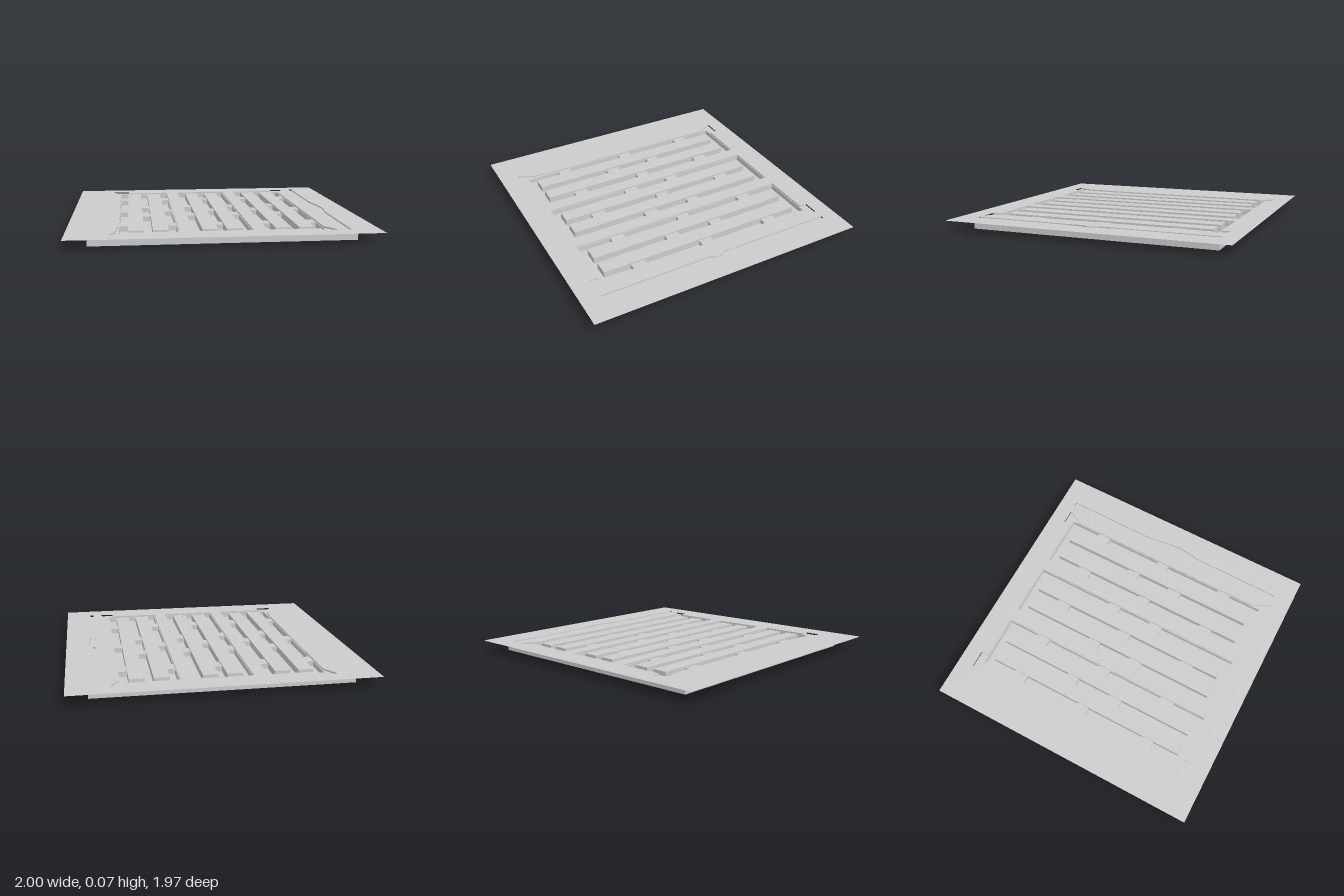
import * as THREE from 'three';
import { mergeGeometries } from 'three/addons/utils/BufferGeometryUtils.js';

const TOP = 0.07, LEDGE = 0.06, FLOOR = 0.025;
const BACK = -0.87, FRONT = 0.85, SIDE = 0.86;
const HEAD_BACK = -0.81, HEAD_FRONT = 0.79;   // outer limits of the channel bays
const RUN_BACK = -0.76, RUN_FRONT = 0.74;     // ends of the long channels

const material = new THREE.MeshStandardMaterial({
  color: 0xcccccc, side: THREE.DoubleSide, flatShading: true,
});

const rect = (x0, x1, z0, z1) => [[x0, z0], [x1, z0], [x1, z1], [x0, z1]];

// Horizontal sheet from [x, z] corners, with optional holes
function sheet(points, y, holes = []) {
  const toV = (p) => new THREE.Vector2(p[0], -p[1]);
  const shape = new THREE.Shape(points.map(toV));
  holes.forEach((h) => shape.holes.push(new THREE.Path(h.map(toV))));
  const g = new THREE.ShapeGeometry(shape).rotateX(-Math.PI / 2).translate(0, y, 0).toNonIndexed();
  g.deleteAttribute('uv');
  return g;
}

// Vertical walls along a closed [x, z] outline; edges accepted by skip stay open
function walls(points, y0, y1, skip = () => false) {
  const pos = [];
  points.forEach((a, i) => {
    const b = points[(i + 1) % points.length];
    if (skip(a, b)) return;
    const q = [[a[0], y0, a[1]], [b[0], y0, b[1]], [b[0], y1, b[1]], [a[0], y1, a[1]]];
    [0, 2, 1, 0, 3, 2].forEach((k) => pos.push(...q[k]));
  });
  const g = new THREE.BufferGeometry();
  g.setAttribute('position', new THREE.Float32BufferAttribute(pos, 3));
  g.computeVertexNormals();
  return g;
}

function add(group, name, parts) {
  const mesh = new THREE.Mesh(mergeGeometries(parts), material);
  mesh.name = name;
  group.add(mesh);
}

// Openings that run out through the skirt have no wall there
const atRim = (a, b) => a[1] === b[1] && (a[1] === BACK || a[1] === FRONT);
const alongZ = (a, b) => a[0] === b[0];

// Centre line of channel i (nine channels, three per bay)
const channelX = (i) => -0.635 + i * 0.1583;
const HALF = 0.028;

// Bridges: even and odd channels are staggered
const bridges = [
  [[-0.58, -0.48], [-0.06, 0.03], [0.45, 0.55]],
  [[-0.23, -0.14], [0.11, 0.21]],
];

// One channel: low runs broken by raised bridges, with steps between
function channel(i) {
  const x0 = channelX(i) - HALF, x1 = channelX(i) + HALF;
  const sideTop = [i % 3 === 0 ? LEDGE : TOP, i % 3 === 2 ? LEDGE : TOP];
  const parts = [];
  const run = (z0, z1, y) => {
    parts.push(sheet(rect(x0, x1, z0, z1), y));
    [x0, x1].forEach((x, k) => {
      if (y < sideTop[k]) parts.push(walls([[x, z0], [x, z1]], y, sideTop[k], (a, b) => a[1] > b[1]));
    });
  };
  let z = RUN_BACK;
  for (const [b0, b1] of bridges[i % 2]) {
    run(z, b0, FLOOR);
    run(b0, b1, LEDGE);
    parts.push(walls(rect(x0, x1, b0, b1), FLOOR, LEDGE, alongZ));
    z = b1;
  }
  run(z, RUN_FRONT, FLOOR);
  return parts;
}

export function createModel() {
  const group = new THREE.Group();

  // Outlines of the three bays; the outer two flare into corner mouths
  const e = 0.005;
  const xl = channelX(0) - HALF - e, xr = channelX(8) + HALF + e;
  const zb = HEAD_BACK - e, zf = HEAD_FRONT + e;
  const right3 = channelX(2) + HALF + e, left3 = channelX(6) - HALF - e;
  const outlines = [
    [[-0.73, BACK], [-0.605, BACK], [-0.605, zb], [right3, zb], [right3, zf], [-0.62, zf],
      [-0.62, FRONT], [-0.735, FRONT], [-0.70, 0.79], [-0.685, 0.74], [xl, 0.55], [xl, -0.765], [-0.70, zb]],
    rect(channelX(3) - HALF - e, channelX(5) + HALF + e, zb, zf),
    [[0.62, BACK], [0.725, BACK], [0.70, zb], [xr, -0.765], [xr, 0.73], [0.70, 0.79],
      [0.73, FRONT], [0.63, FRONT], [0.63, zf], [left3, zf], [left3, zb], [0.62, zb]],
  ];

  // Shallow groove with a kink beside the right-hand bay
  const groove = [[0.79, BACK], [0.815, BACK], [0.81, -0.23], [0.835, -0.06], [0.842, 0.04],
    [0.818, 0.22], [0.815, FRONT], [0.79, FRONT], [0.79, 0.06], [0.81, 0.03], [0.81, -0.03], [0.79, -0.05]];

  // Top plate, built as a border, two end strips' worth of area and the bay openings
  add(group, 'topPlate', [sheet(rect(-1, 1, -0.985, 0.985), TOP, [...outlines, groove])]);
  add(group, 'sideGroove', [sheet(groove, LEDGE), walls(groove, LEDGE, TOP, atRim)]);

  outlines.forEach((outline, bay) => {
    const first = bay * 3;
    const x0 = channelX(first) - HALF, x1 = channelX(first + 2) + HALF;
    const well = rect(x0, x1, HEAD_BACK, HEAD_FRONT);

    // Ledge around the bay and into its mouths
    add(group, 'bayLedge', [sheet(outline, LEDGE, [well]), walls(outline, LEDGE, TOP, atRim)]);

    // Cross channels at both ends
    const headers = [[HEAD_BACK, RUN_BACK], [RUN_FRONT, HEAD_FRONT]].map(([a, b]) =>
      sheet(rect(x0, x1, a, b), FLOOR));
    headers.push(walls(well, FLOOR, LEDGE, alongZ));
    [[HEAD_BACK, RUN_BACK], [RUN_FRONT, HEAD_FRONT]].forEach(([a, b]) =>
      headers.push(walls(rect(x0, x1, a, b), FLOOR, LEDGE, (p, q) => p[1] === q[1])));
    add(group, 'crossChannels', headers);

    // Long channels with staggered bridges
    for (let i = first; i < first + 3; i++) add(group, 'longChannel', channel(i));

    // Raised slats between them
    for (let i = first; i < first + 2; i++) {
      const slat = rect(channelX(i) + HALF, channelX(i + 1) - HALF, RUN_BACK, RUN_FRONT);
      add(group, 'slat', [sheet(slat, TOP), walls(slat, FLOOR, TOP, alongZ)]);
    }
  });

  // Skirt under the plate, notched where mouths and groove run out
  const skirt = [-SIDE, SIDE].map((x) =>
    walls([[x, BACK], [x, FRONT]], 0, TOP, (a, b) => a[1] > b[1]));
  for (const z of [BACK, FRONT]) {
    const xs = [...outlines, groove].flat().filter((p) => p[1] === z).map((p) => p[0]).sort((a, b) => a - b);
    const stops = [-SIDE, ...xs, SIDE];
    for (let i = 0; i < stops.length - 1; i++) {
      skirt.push(walls([[stops[i], z], [stops[i + 1], z]], 0, i % 2 ? LEDGE : TOP, (a, b) => a[0] > b[0]));
    }
  }
  add(group, 'skirt', skirt);

  return group;
}
